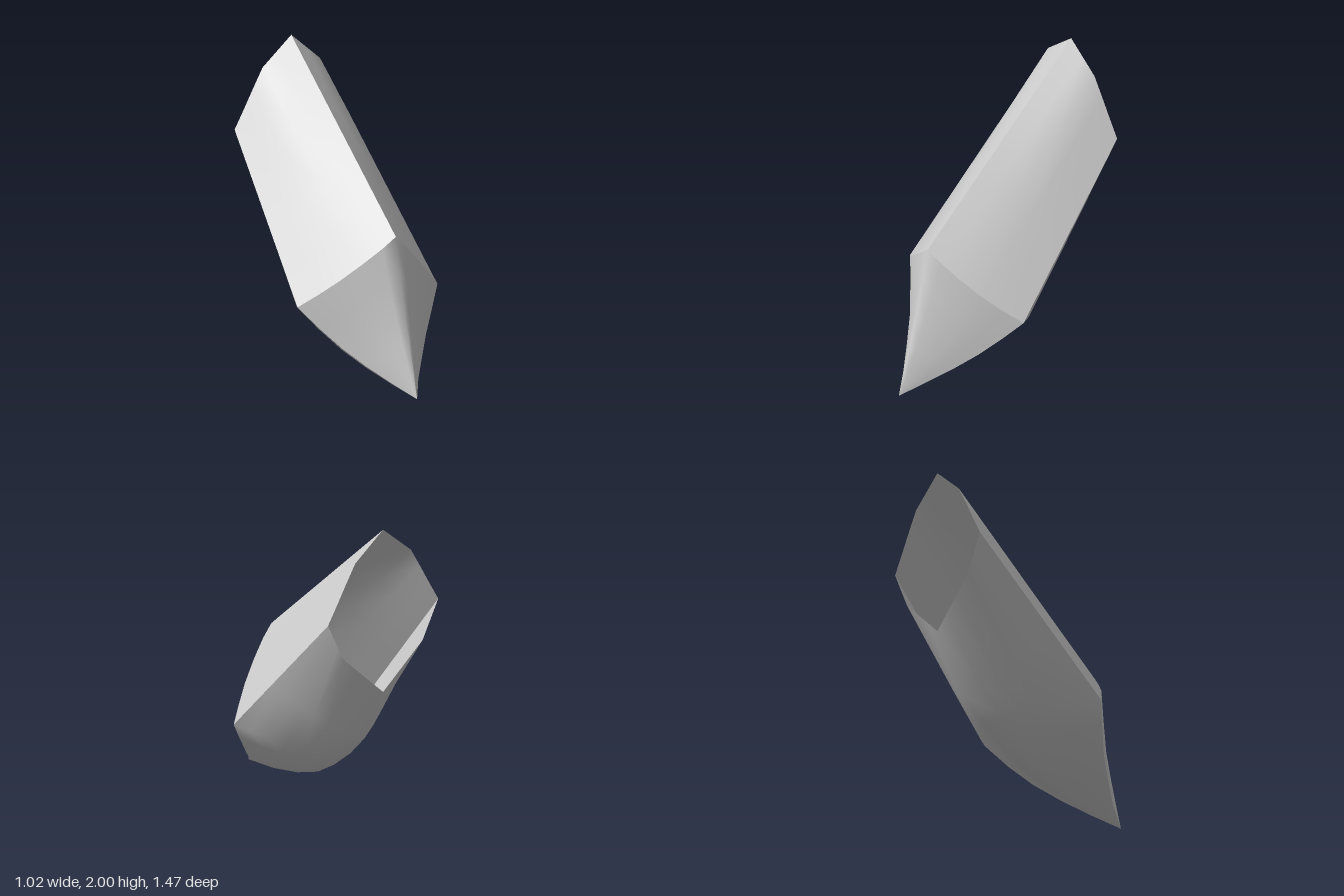
import * as THREE from 'three';

const V = (x, y, z) => new THREE.Vector3(x, y, z);
const flip = (p) => V(-p.x, p.y, p.z);

// Smooth surface through rows of points
function loft(rows, material, name) {
  const n = rows[0].length, index = [];
  for (let j = 0; j < rows.length - 1; j++) {
    for (let i = 0; i < n - 1; i++) {
      const a = j * n + i, b = a + 1, c = a + n, d = c + 1;
      index.push(a, b, c, b, d, c);
    }
  }
  const geometry = new THREE.BufferGeometry().setFromPoints(rows.flat());
  geometry.setIndex(index);
  geometry.computeVertexNormals();
  const mesh = new THREE.Mesh(geometry, material);
  mesh.name = name;
  return mesh;
}

export function createModel() {
  const group = new THREE.Group();
  group.name = 'hollowPointedHull';
  const grey = new THREE.MeshStandardMaterial({ color: 0xcfcfcf, side: THREE.DoubleSide });
  grey.name = 'lightGrey';

  // Side edge, from the tip to the rear opening
  const chine = [
    V(0, 0, 0.735), V(0.1, 0.085, 0.59), V(0.205, 0.178, 0.465), V(0.305, 0.278, 0.35),
    V(0.41, 0.4, 0.25), V(0.512, 0.53, 0.155), V(0.473, 0.898, -0.201), V(0.415, 1.45, -0.735),
  ];
  // Bottom centre line
  const keel = [
    V(0, 0, 0.735), V(0, 0.03, 0.46), V(0, 0.085, 0.2), V(0, 0.16, -0.02),
    V(0, 0.265, -0.2), V(0, 0.4, -0.38), V(0, 0.545, -0.53), V(0, 0.92, -0.735),
  ];
  // Front centre line, from the tip up to the ridge
  const stem = [
    V(0, 0, 0.735), V(0, 0.16, 0.692), V(0, 0.34, 0.64), V(0, 0.54, 0.585),
    V(0, 0.76, 0.535), V(0, 0.987, 0.487),
  ];
  // Front and rear edges of the upper shell, from ridge to side
  const brow = [
    V(0, 0.987, 0.487), V(0.08, 0.916, 0.46), V(0.19, 0.818, 0.402),
    V(0.31, 0.71, 0.325), V(0.41, 0.62, 0.245), V(0.512, 0.53, 0.155),
  ];
  const rear = [
    V(0, 2, -0.735), V(0.105, 1.91, -0.735), V(0.21, 1.82, -0.735),
    V(0.28, 1.695, -0.735), V(0.345, 1.575, -0.735), V(0.415, 1.45, -0.735),
  ];

  // Lower hull: gently bowed sections between side edge and keel, angular at the rear
  const bulge = [0, 0.006, 0.018, 0.032, 0.045, 0.052, 0.042, 0.09];
  const hullRows = chine.map((c, j) => {
    const half = [];
    for (let i = 0; i <= 6; i++) {
      const s = i / 6;
      const b = bulge[j] * (j === 7 ? 1 - Math.abs(2 * s - 1) : 4 * s * (1 - s));
      const bow = j === 7 ? V(b, b * 0.17, 0) : V(b, -0.2 * b, -0.3 * b);
      half.push(c.clone().lerp(keel[j], s).add(bow));
    }
    return [...half, ...half.slice(0, -1).reverse().map(flip)];
  });
  group.add(loft(hullRows, grey, 'lowerHull'));

  // Nose: sections that grow from the tip into the brow curve
  const noseRows = stem.map((c, j) => {
    const half = brow.map((p) => {
      const s = p.x / brow[5].x;
      const bow = p.clone().sub(brow[0].clone().lerp(brow[5], s));
      return c.clone().lerp(chine[j], s).addScaledVector(bow, j / 5);
    });
    return [...half.slice(1).reverse().map(flip), ...half];
  });
  group.add(loft(noseRows, grey, 'nose'));

  // Upper shell: two ruled panels meeting at a sharp ridge
  const panel = [0, 0.4, 0.7, 1].map((t) => brow.map((p, i) => p.clone().lerp(rear[i], t)));
  group.add(loft(panel, grey, 'upperShellLeft'));
  group.add(loft(panel.map((row) => [...row].reverse().map(flip)), grey, 'upperShellRight'));

  return group;
}
